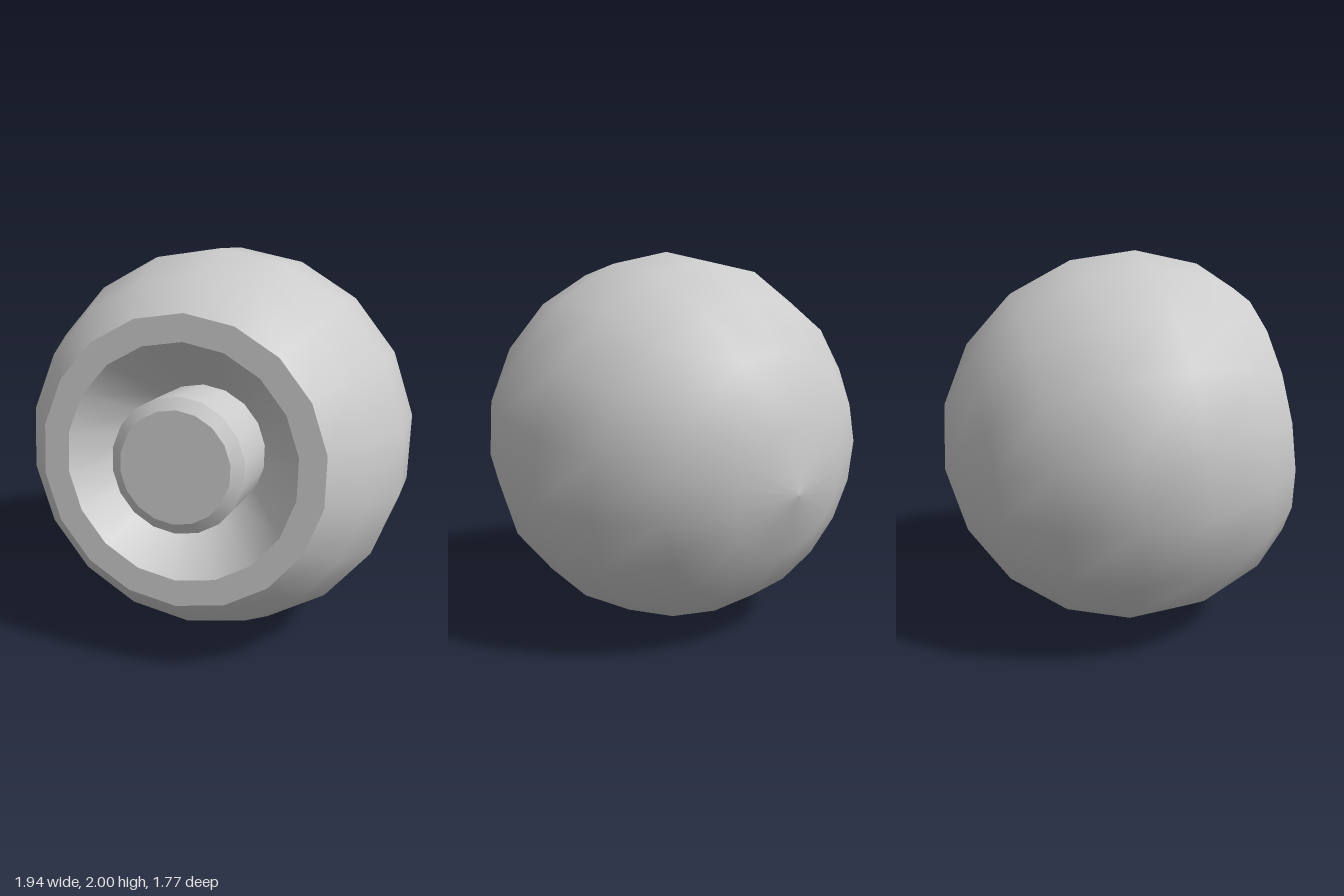
import * as THREE from 'three';

const SIDES = 18;
const material = new THREE.MeshStandardMaterial({ color: 0xcccccc });

// One smooth band of revolution; profile is [radius, height] from back to front
function band(name, profile) {
  const points = profile.map(([r, h]) => new THREE.Vector2(r, h));
  const mesh = new THREE.Mesh(new THREE.LatheGeometry(points, SIDES), material);
  mesh.name = name;
  return mesh;
}

export function createModel() {
  const model = new THREE.Group();
  model.name = 'ballWithButton';

  // Ball profile in 20 degree steps from the back pole, cut flat at the front
  const ball = [];
  for (let i = 0; i <= 6; i++) {
    const a = (i * Math.PI) / 9;
    ball.push([Math.sin(a), -Math.cos(a)]);
  }
  ball.push([0.705, 0.69]);

  model.add(
    band('ball', ball),
    band('rim', [[0.705, 0.69], [0.575, 0.69]]),
    band('funnel', [[0.575, 0.69], [0.33, 0.37]]),
    band('buttonSide', [[0.33, 0.37], [0.33, 0.71]]),
    band('buttonBevel', [[0.33, 0.71], [0.272, 0.75]]),
    band('buttonFace', [[0.272, 0.75], [0, 0.75]])
  );

  // Turn the axis to the front, tipped slightly upward
  model.rotation.x = Math.PI / 2 - 0.1325;
  model.position.set(0, 1, 0.106);

  const root = new THREE.Group();
  root.add(model);
  return root;
}
